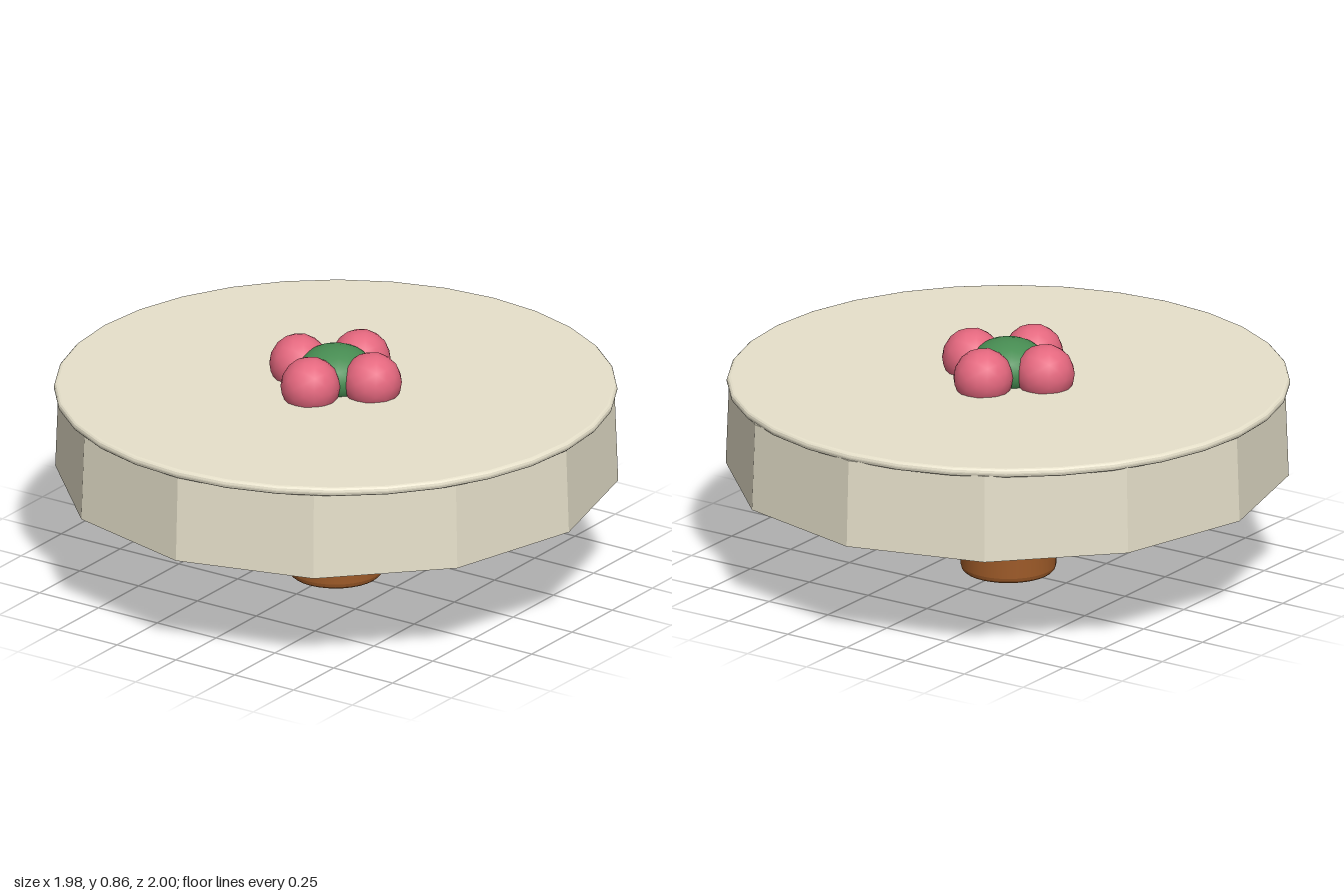
import * as THREE from 'three';
import { toCreasedNormals } from 'three/addons/utils/BufferGeometryUtils.js';

const material = (name, color) => {
  const m = new THREE.MeshStandardMaterial({ color });
  m.name = name;
  return m;
};

// Disc or post with softly rounded top and bottom edges
function roundedDisc(radius, bottom, top, bevel, sides) {
  const points = [new THREE.Vector2(0, bottom)];
  for (const [y, start] of [[bottom + bevel, -Math.PI / 2], [top - bevel, 0]]) {
    for (let i = 0; i <= 3; i++) {
      const a = start + (i / 3) * Math.PI / 2;
      points.push(new THREE.Vector2(radius - bevel + Math.cos(a) * bevel, y + Math.sin(a) * bevel));
    }
  }
  points.push(new THREE.Vector2(0, top));
  return toCreasedNormals(new THREE.LatheGeometry(points, sides), 0.22);
}

export function createModel() {
  const cream = material('cream cloth', 0xe7e1cb);
  const brown = material('brown wood', 0x9d5a28);
  const lightBrown = material('light brown wood', 0xcb8239);
  const pink = material('pink petals', 0xe4677e);
  const green = material('green centre', 0x478c52);

  const group = new THREE.Group();
  const add = (name, geometry, mat, x = 0, y = 0, z = 0) => {
    const mesh = new THREE.Mesh(geometry, mat);
    mesh.name = name;
    mesh.position.set(x, y, z);
    group.add(mesh);
    return mesh;
  };
  const cz = 0.007;

  // Table: central post, wooden top and the cloth over it
  add('post', roundedDisc(0.168, 0, 0.6, 0.022, 32), brown, 0, 0, cz);
  add('woodenTop', roundedDisc(0.922, 0.563, 0.69, 0.015, 32), lightBrown, 0, 0, cz);
  add('clothTop', roundedDisc(0.989, 0.683, 0.715, 0.014, 32), cream, 0, 0, cz);

  // Hanging cloth: a thin twelve-sided wall, slightly flared at the hem
  const wall = [[0.985, 0.375], [1, 0.375], [0.988, 0.69], [0.973, 0.69], [0.985, 0.375]];
  const skirt = new THREE.LatheGeometry(wall.map(([r, y]) => new THREE.Vector2(r, y)), 12);
  skirt.scale(0.987, 1, 1);
  add('clothSkirt', toCreasedNormals(skirt, 0.2), cream);

  // Flower: flattened centre with four round petals
  const centre = add('flowerCentre', new THREE.IcosahedronGeometry(0.14, 4), green, 0, 0.757, cz);
  centre.scale.y = 0.71;
  const petal = new THREE.IcosahedronGeometry(0.105, 2);
  for (let i = 0; i < 4; i++) {
    const a = i * Math.PI / 2;
    add('petal', petal, pink, Math.sin(a) * 0.155, 0.758, cz + Math.cos(a) * 0.157);
  }
  return group;
}
